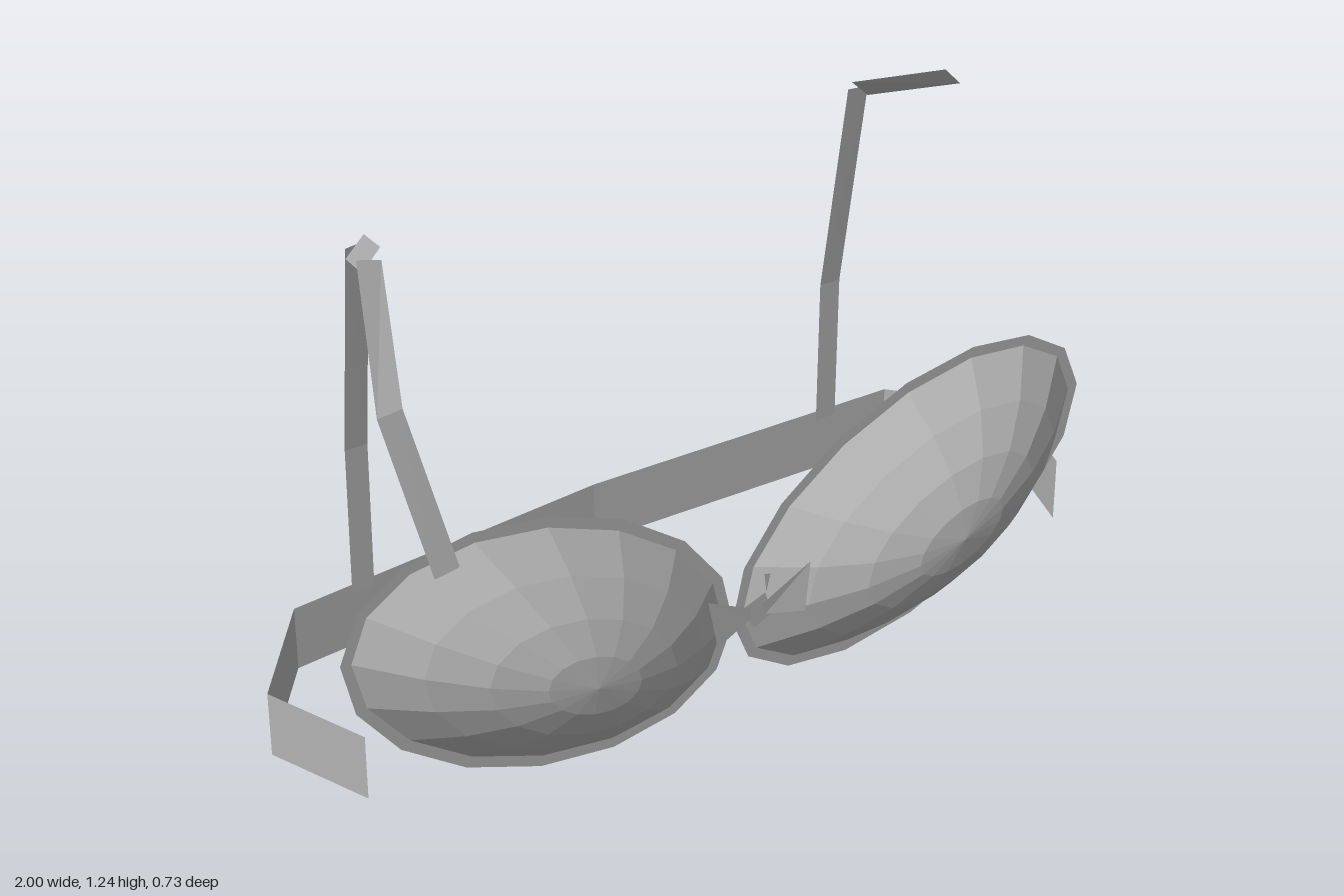
import * as THREE from 'three';

const fabric = new THREE.MeshStandardMaterial({ color: 0xb2b2b2, flatShading: true, side: THREE.DoubleSide });
fabric.name = 'grey fabric';

// Flat ribbon through a list of cross-sections, each a pair of edge points
function ribbon(name, pairs) {
  const positions = [], index = [];
  pairs.forEach(([a, b], i) => {
    positions.push(...a, ...b);
    if (i > 0) {
      const k = 2 * i;
      index.push(k - 2, k - 1, k + 1, k - 2, k + 1, k);
    }
  });
  const flat = new THREE.BufferGeometry();
  flat.setAttribute('position', new THREE.Float32BufferAttribute(positions, 3));
  flat.setIndex(index);
  const geometry = flat.toNonIndexed();
  geometry.computeVertexNormals();
  const mesh = new THREE.Mesh(geometry, fabric);
  mesh.name = name;
  return mesh;
}

const SIDES = 16, CUP_A = 0.48, CUP_B = 0.268, TILT = 0.39;

// Tilted shallow dome with a flat rim round its open back
function makeCup(side) {
  const cup = new THREE.Group();
  cup.name = side > 0 ? 'leftCup' : 'rightCup';
  const profile = [1, 0.75, 0.5, 0.25, 0].map(r => new THREE.Vector2(r, 0.197 * (1 - r * r)));
  const dome = new THREE.LatheGeometry(profile, SIDES, Math.PI / SIDES);
  dome.rotateX(Math.PI / 2);
  dome.scale(CUP_A, CUP_B, 1);
  const domeMesh = new THREE.Mesh(dome, fabric);
  domeMesh.name = 'cupDome';
  const rim = [];
  for (let i = 0; i <= SIDES; i++) {
    const t = (i + 0.5) / SIDES * Math.PI * 2;
    rim.push([-0.016, 0.026].map(w => [(CUP_A + w) * Math.cos(t), (CUP_B + w) * Math.sin(t), 0]));
  }
  cup.add(domeMesh, ribbon('cupRim', rim));
  cup.position.set(side * 0.48, 0.333, 0.165);
  cup.rotation.z = side * TILT;
  return cup;
}

export function createModel() {
  const model = new THREE.Group();
  model.name = 'bra';

  for (const s of [1, -1]) {
    const label = s > 0 ? 'left' : 'right';
    model.add(makeCup(s));

    // Rear strap, rising from the band
    model.add(ribbon(label + 'RearStrap', [
      [[s * 0.6, 0.26, -0.325], [s * 0.655, 0.26, -0.325]],
      [[s * 0.6, 0.62, -0.32], [s * 0.655, 0.62, -0.32]],
      [[s * 0.61, 1.135, -0.25], [s * 0.665, 1.13, -0.25]],
    ]));

    // Strap over the shoulder
    model.add(ribbon(label + 'ShoulderStrap', [
      [[s * 0.62, 1.15, -0.25], [s * 0.665, 1.107, -0.25]],
      [[s * 0.705, 1.237, -0.037], [s * 0.748, 1.193, -0.037]],
    ]));
  }

  // Front strap, on the right shoulder only
  model.add(ribbon('rightFrontStrap', [
    [[-0.75, 0.607, 0.188], [-0.69, 0.61, 0.188]],
    [[-0.815, 0.957, 0.108], [-0.757, 0.962, 0.108]],
    [[-0.76, 1.225, -0.037], [-0.705, 1.21, -0.035]],
  ]));

  // Band round the back
  const bandPath = [
    [-0.915, 0.165], [-1, -0.08], [-0.8, -0.32], [0, -0.365],
    [0.8, -0.32], [1, -0.08], [0.915, 0.165],
  ];
  model.add(ribbon('backBand', bandPath.map(([x, z]) => [[x, 0.127, z], [x, 0.28, z]])));

  // Bow between the cups
  const bow = new THREE.Group();
  bow.name = 'bow';
  bow.add(
    ribbon('bowRightWing', [
      [[-0.138, 0.355, 0.265], [-0.12, 0.24, 0.275]],
      [[-0.015, 0.285, 0.25], [-0.02, 0.26, 0.253]],
    ]),
    ribbon('bowLeftWing', [
      [[0.133, 0.355, 0.262], [0.115, 0.24, 0.27]],
      [[0.015, 0.285, 0.25], [0.025, 0.255, 0.248]],
    ]),
    ribbon('bowTail', [
      [[0, 0.25, 0.2], [0.03, 0.19, 0.2]],
      [[0.06, 0.27, 0.2], [0.08, 0.21, 0.2]],
    ]),
    ribbon('bowTailEnd', [
      [[0.065, 0.31, 0.19], [0.075, 0.23, 0.19]],
      [[0.13, 0.29, 0.19], [0.14, 0.2, 0.19]],
    ]),
  );
  model.add(bow);

  return model;
}
